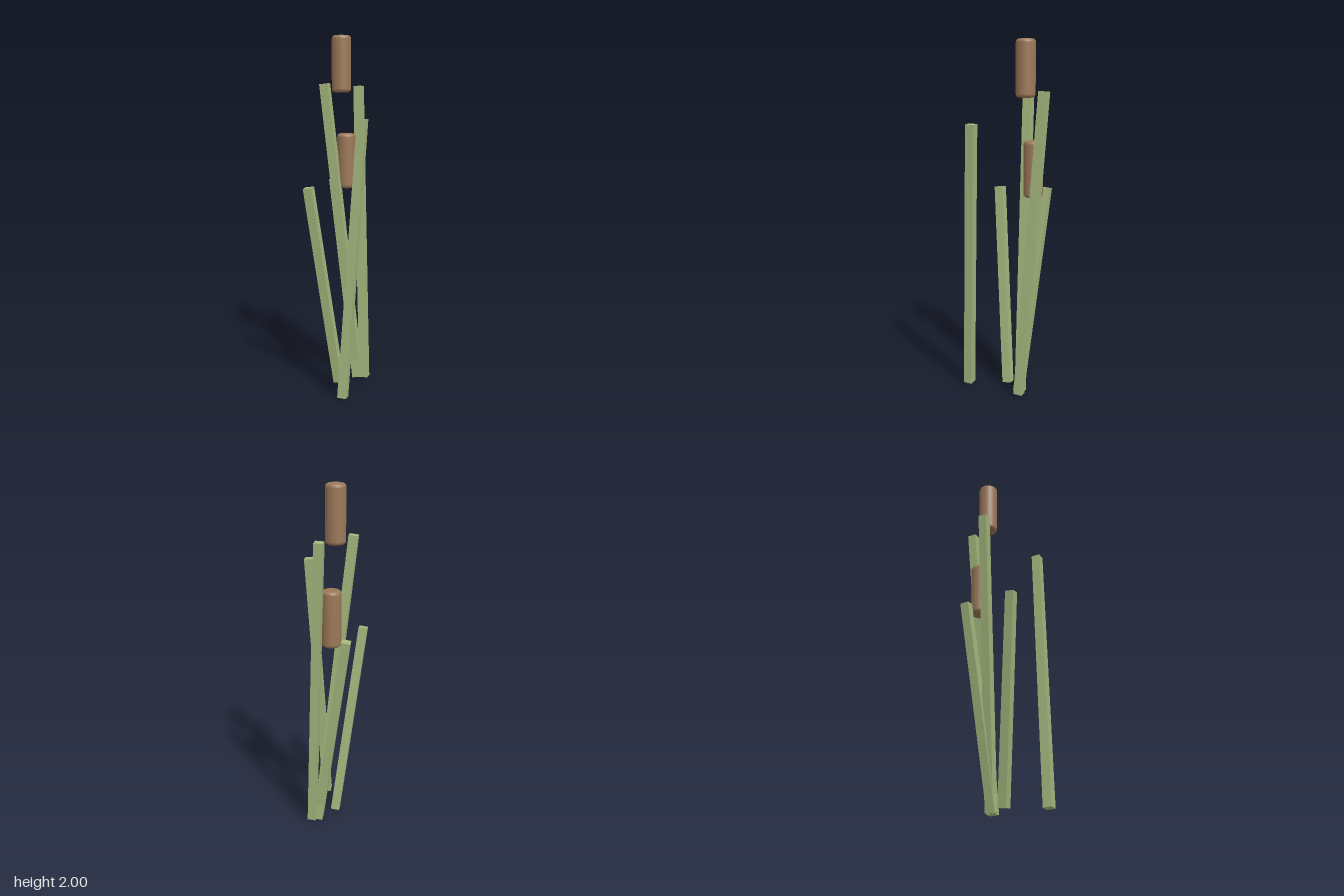
import * as THREE from 'three';

const UP = new THREE.Vector3(0, 1, 0);

// square stalk leaning from its foot to its tip
function makeStalk(foot, tip, material) {
  const a = new THREE.Vector3(...foot);
  const b = new THREE.Vector3(...tip);
  const dir = b.clone().sub(a);
  const mesh = new THREE.Mesh(new THREE.BoxGeometry(0.05, dir.length(), 0.05), material);
  mesh.position.copy(a).add(b).multiplyScalar(0.5);
  mesh.quaternion.setFromUnitVectors(UP, dir.normalize());
  return mesh;
}

// upright seed head with rounded rims
function makeHead(height, material) {
  const r = 0.055, bevel = 0.02, h = height / 2;
  const profile = [new THREE.Vector2(0, -h)];
  for (const [cy, start] of [[-h + bevel, -Math.PI / 2], [h - bevel, 0]]) {
    for (let i = 0; i <= 4; i++) {
      const t = start + (i / 4) * Math.PI / 2;
      profile.push(new THREE.Vector2(r - bevel + Math.cos(t) * bevel, cy + Math.sin(t) * bevel));
    }
  }
  profile.push(new THREE.Vector2(0, h));
  return new THREE.Mesh(new THREE.LatheGeometry(profile, 32), material);
}

export function createModel() {
  const group = new THREE.Group();
  const green = new THREE.MeshStandardMaterial({ color: 0xa3b57c });
  green.name = 'reedGreen';
  const brown = new THREE.MeshStandardMaterial({ color: 0x9b7858 });
  brown.name = 'seedHeadBrown';

  // stalks: foot, tip
  const stalks = [
    [[-0.02, 0.006, 0.01], [-0.16, 1.16, 0.125]],
    [[0.07, 0.003, 0.222], [0.158, 1.544, 0.148]],
    [[0.1, 0.003, -0.115], [0.027, 1.721, -0.225]],
    [[0.063, 0.005, -0.097], [-0.11, 1.18, -0.188]],
    [[0.063, 0.005, -0.107], [-0.128, 1.733, -0.068]],
  ];
  stalks.forEach(([foot, tip], i) => {
    const stalk = makeStalk(foot, tip, green);
    stalk.name = `stalk${i + 1}`;
    group.add(stalk);
  });

  // seed heads: centre
  const heads = [[-0.035, 1.842, -0.09], [-0.022, 1.293, -0.144]];
  heads.forEach((p, i) => {
    const head = makeHead(0.316, brown);
    head.position.set(...p);
    head.name = `seedHead${i + 1}`;
    group.add(head);
  });

  return group;
}
